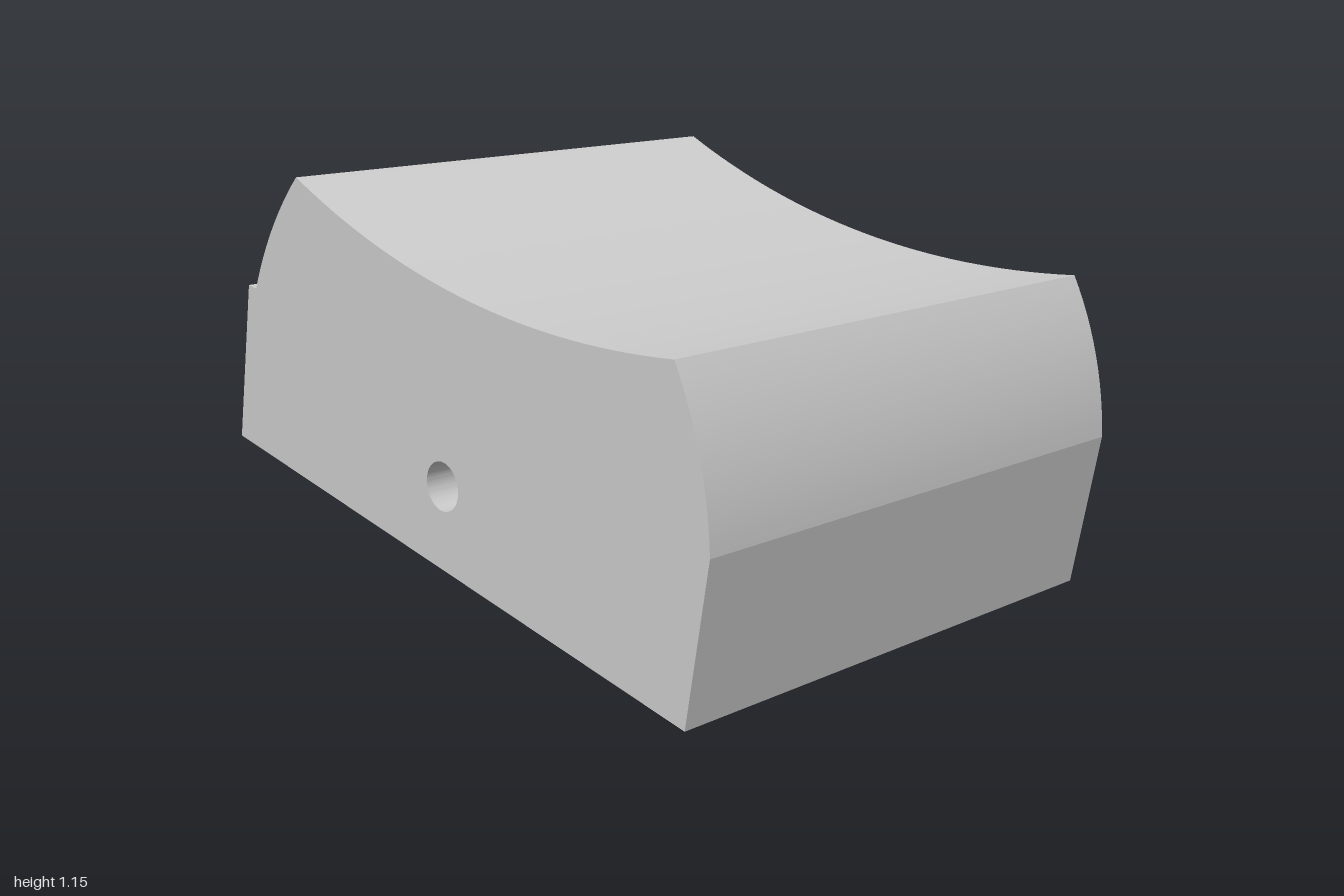
import * as THREE from 'three';
import { toCreasedNormals } from 'three/addons/utils/BufferGeometryUtils.js';

const WIDTH = 1.544;

// Adds a circular arc from the shape's current point to (x, y).
// A positive sagitta bulges to the right of travel, a negative one to the left.
function bulgeTo(shape, x, y, sagitta, segments) {
  const a = shape.currentPoint.clone();
  const b = new THREE.Vector2(x, y);
  const chord = a.distanceTo(b);
  const s = Math.abs(sagitta);
  const radius = (chord * chord / 4 + s * s) / (2 * s);
  const dir = b.clone().sub(a).normalize();
  const right = new THREE.Vector2(dir.y, -dir.x).multiplyScalar(Math.sign(sagitta));
  const centre = a.clone().add(b).multiplyScalar(0.5).addScaledVector(right, s - radius);
  const start = a.clone().sub(centre).angle();
  let sweep = b.clone().sub(centre).angle() - start;
  if (sweep > Math.PI) sweep -= 2 * Math.PI;
  if (sweep < -Math.PI) sweep += 2 * Math.PI;
  for (let i = 1; i < segments; i++) {
    const t = start + sweep * i / segments;
    shape.lineTo(centre.x + radius * Math.cos(t), centre.y + radius * Math.sin(t));
  }
  shape.lineTo(x, y);
}

export function createModel() {
  const group = new THREE.Group();
  group.name = 'saddleBlock';

  // Side profile: tilted base, stepped back, concave top, rounded front
  const profile = new THREE.Shape();
  profile.moveTo(-0.92, 0.003);
  profile.lineTo(1.0, 0.343);
  profile.lineTo(0.917, 0.815);
  profile.lineTo(0.878, 0.81);
  bulgeTo(profile, 0.64, 1.157, 0.022, 12);
  bulgeTo(profile, -0.882, 0.89, -0.104, 32);
  bulgeTo(profile, -1.0, 0.447, 0.026, 12);
  profile.closePath();

  // Cross bore through the whole width
  const bore = new THREE.Path();
  bore.absarc(0, 0.4, 0.068, 0, Math.PI * 2, true);
  profile.holes.push(bore);

  const geometry = new THREE.ExtrudeGeometry(profile, {
    depth: WIDTH, bevelEnabled: false, curveSegments: 28,
  });
  geometry.translate(0, 0, -WIDTH / 2);
  geometry.rotateY(Math.PI / 2); // profile runs front to back, width along x

  const block = new THREE.Mesh(
    toCreasedNormals(geometry, 0.15),
    new THREE.MeshStandardMaterial({ color: 0xcccccc }),
  );
  block.name = 'block';
  group.add(block);
  return group;
}
